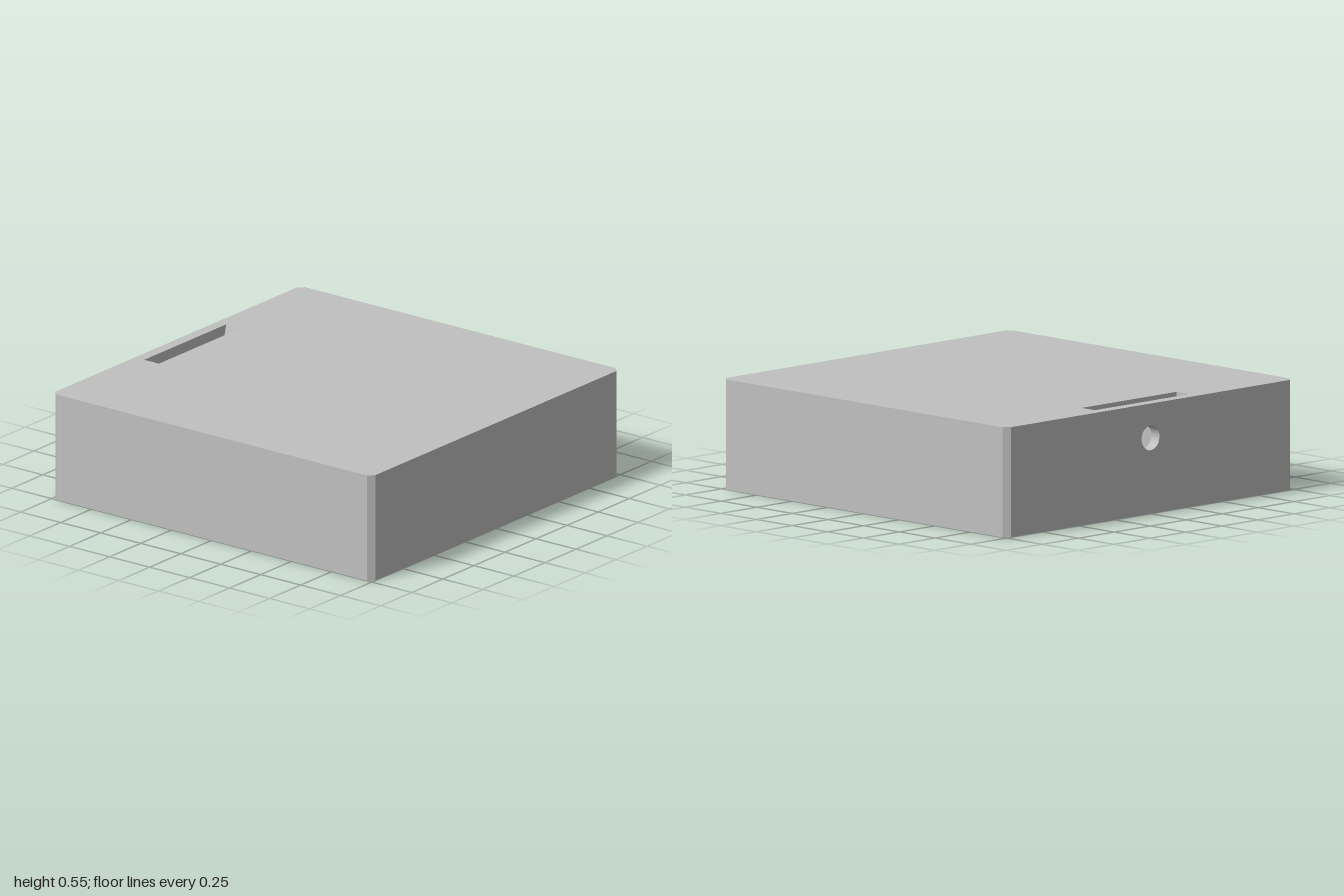
import * as THREE from 'three';

const H = 0.552;      // overall height
const ROOF = 0.07;    // lid thickness
const WALL = 0.058;   // wall thickness
const C = 0.03;       // corner chamfer
const IN = 1 - WALL;  // inner face of the walls

const toShape = (pts) => new THREE.Shape(pts.map(([x, y]) => new THREE.Vector2(x, y)));

// Extrudes a plan drawn as (x, -z) upwards from the given height
function extrudeUp(shape, y, height) {
  const geo = new THREE.ExtrudeGeometry(shape, { depth: height, bevelEnabled: false });
  geo.rotateX(-Math.PI / 2);
  geo.translate(0, y, 0);
  return geo;
}

export function createModel() {
  const group = new THREE.Group();
  const grey = new THREE.MeshStandardMaterial({ color: 0xc0c0c0 });
  grey.name = 'light grey';

  const add = (name, geo) => {
    const mesh = new THREE.Mesh(geo, grey);
    mesh.name = name;
    group.add(mesh);
  };

  // Lid with chamfered corners and a long slot near the back
  const e = 1 - C;
  const plan = toShape([[-e, -1], [e, -1], [1, -e], [1, e], [e, 1], [-e, 1], [-1, e], [-1, -e]]);
  const slotX = 0.33;
  plan.holes.push(toShape([[-slotX, 0.85], [-slotX, IN], [slotX, IN], [slotX, 0.85]]));
  const lid = extrudeUp(plan, H - ROOF, ROOF);

  // One end of the slot slopes inwards towards its lower edge
  const p = lid.attributes.position;
  for (let i = 0; i < p.count; i++) {
    if (Math.abs(p.getX(i) - slotX) < 1e-4 && p.getY(i) < H - ROOF / 2) p.setX(i, slotX - 0.02);
  }
  lid.computeVertexNormals();
  add('lid', lid);

  // Front and side walls as one U-shaped band, open to the back wall
  const band = toShape([
    [-e, -1], [e, -1], [1, -e], [1, e], [e, 1], [IN, 1],
    [IN, -IN], [-IN, -IN], [-IN, 1], [-e, 1], [-1, e], [-1, -e],
  ]);
  add('frontAndSideWalls', extrudeUp(band, 0, H - ROOF));

  // Back wall with a round through hole
  const back = toShape([[-IN, 0], [IN, 0], [IN, H - ROOF], [-IN, H - ROOF]]);
  const hole = new THREE.Path();
  hole.absarc(0, 0.38, 0.062, 0, Math.PI * 2, true);
  back.holes.push(hole);
  const backGeo = new THREE.ExtrudeGeometry(back, { depth: WALL, bevelEnabled: false, curveSegments: 24 });
  backGeo.translate(0, 0, -1);
  add('backWall', backGeo);

  return group;
}
